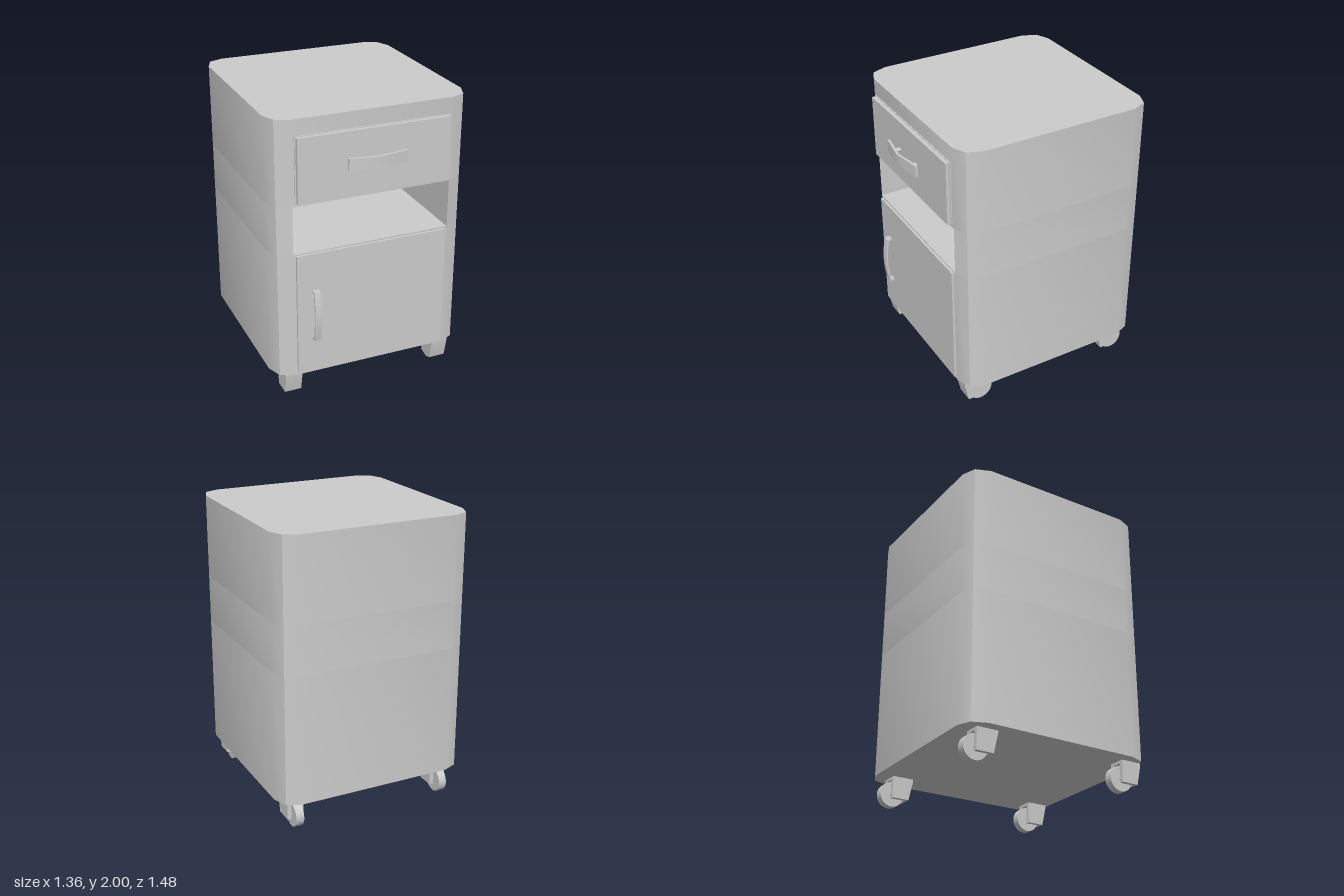
import * as THREE from 'three';
import { toCreasedNormals } from 'three/addons/utils/BufferGeometryUtils.js';

const material = new THREE.MeshStandardMaterial({ color: 0xcccccc });

function addMesh(parent, name, geometry, x = 0, y = 0, z = 0) {
  const mesh = new THREE.Mesh(geometry, material);
  mesh.name = name;
  mesh.position.set(x, y, z);
  parent.add(mesh);
  return mesh;
}

const toShape = (points) => new THREE.Shape(points.map(([a, b]) => new THREE.Vector2(a, b)));

// Plan outline given as [x, z], raised from y0 to y1
function raisePlan(points, y0, y1) {
  const geometry = new THREE.ExtrudeGeometry(toShape(points.map(([x, z]) => [x, -z])), {
    depth: y1 - y0, bevelEnabled: false,
  });
  geometry.rotateX(-Math.PI / 2).translate(0, y0, 0);
  return toCreasedNormals(geometry, 0.75);
}

// Side profile given as [z, y], widened along x and centred on x = 0
function widenProfile(points, width) {
  const geometry = new THREE.ExtrudeGeometry(toShape(points.map(([z, y]) => [-z, y])), {
    depth: width, bevelEnabled: false,
  });
  geometry.translate(0, 0, -width / 2).rotateY(Math.PI / 2);
  return toCreasedNormals(geometry, 0.5);
}

const box = (w, h, d) => new THREE.BoxGeometry(w, h, d);

// Caster: two cheeks and a front plate around a wheel, measured from the wheel axle
function createCaster() {
  const caster = new THREE.Group();
  caster.name = 'caster';
  const cheek = [[0.14, 0.12], [0.14, 0.105], [0.11, -0.03], [-0.01, -0.03], [-0.01, 0.12]];
  const plate = [[0.14, 0.12], [0.14, 0.105], [0.11, -0.03], [0.09, -0.03], [0.09, 0.12]];
  for (const side of [-1, 1]) {
    addMesh(caster, 'casterCheek', widenProfile(cheek, 0.028), side * 0.0445);
  }
  addMesh(caster, 'casterFrontPlate', widenProfile(plate, 0.061));
  addMesh(caster, 'casterTopPlate', box(0.061, 0.02, 0.1), 0, 0.11, 0.04);
  const wheel = new THREE.CylinderGeometry(0.085, 0.085, 0.056, 32).rotateZ(Math.PI / 2);
  addMesh(caster, 'casterWheel', wheel);
  addMesh(caster, 'casterAxle', new THREE.CylinderGeometry(0.015, 0.015, 0.07, 12).rotateZ(Math.PI / 2));
  return caster;
}

export function createModel() {
  const model = new THREE.Group();
  model.name = 'bedsideCabinet';

  // Cabinet with rounded corners, split around the open shelf
  const rightHalf = [[0.545, 0.625], [0.64, 0.585], [0.68, 0.48], [0.68, -0.6], [0.64, -0.702], [0.545, -0.741]];
  const leftHalf = rightHalf.map(([x, z]) => [-x, z]).reverse();
  const outline = [...rightHalf, ...leftHalf];
  const wallsAroundShelf = [...outline, [-0.545, -0.7], [0.545, -0.7]];
  const cabinet = new THREE.Group();
  cabinet.name = 'cabinet';
  model.add(cabinet);
  addMesh(cabinet, 'lowerCabinet', raisePlan(outline, 0.205, 1.1));
  addMesh(cabinet, 'openShelfWalls', raisePlan(wallsAroundShelf, 1.1, 1.43));
  addMesh(cabinet, 'upperCabinet', raisePlan(outline, 1.43, 2));

  // Drawer front on a thin backing
  addMesh(model, 'drawerBacking', box(1.055, 0.44, 0.02), 0, 1.672, 0.622);
  addMesh(model, 'drawerFront', box(1.04, 0.43, 0.036), 0, 1.672, 0.64);

  // Drawer handle: shallow bow on two posts
  const bow = [];
  for (const [offset, step] of [[0, 1], [-0.017, -1]]) {
    for (let i = -2; i <= 2; i++) {
      const x = step * i * 0.1;
      bow.push([x, 0.737 + offset - 0.16 * Math.abs(x)]);
    }
  }
  addMesh(model, 'drawerHandle', raisePlan(bow.reverse(), 1.645, 1.725));
  for (const x of [-0.115, 0.115]) {
    const post = new THREE.CylinderGeometry(0.018, 0.018, 0.055, 16).rotateX(Math.PI / 2).scale(1, 0.65, 1);
    addMesh(model, 'drawerHandlePost', post, x, 1.685, 0.68);
  }

  // Door
  addMesh(model, 'door', box(1.055, 0.86, 0.03), 0, 0.66, 0.627);

  // Door handle: curved strap with ends turned in to the door
  const strap = [];
  const steps = 10;
  for (let i = 0; i <= steps; i++) {
    const t = (i / steps) * 2 - 1;
    strap.push([0.697 - 0.02 * t * t, 0.65 + 0.18 * t]);
  }
  strap.push([0.638, 0.83], [0.638, 0.818], [0.667, 0.818]);
  for (let i = steps - 1; i >= 1; i--) {
    const t = (i / steps) * 2 - 1;
    strap.push([0.683 - 0.02 * t * t, 0.65 + 0.168 * t]);
  }
  strap.push([0.667, 0.482], [0.638, 0.482], [0.638, 0.47]);
  addMesh(model, 'doorHandle', widenProfile(strap, 0.045), -0.403);

  // Four casters, all facing forward
  for (const x of [-0.545, 0.545]) {
    for (const z of [0.465, -0.627]) {
      const caster = createCaster();
      caster.position.set(x, 0.085, z);
      model.add(caster);
    }
  }
  return model;
}
